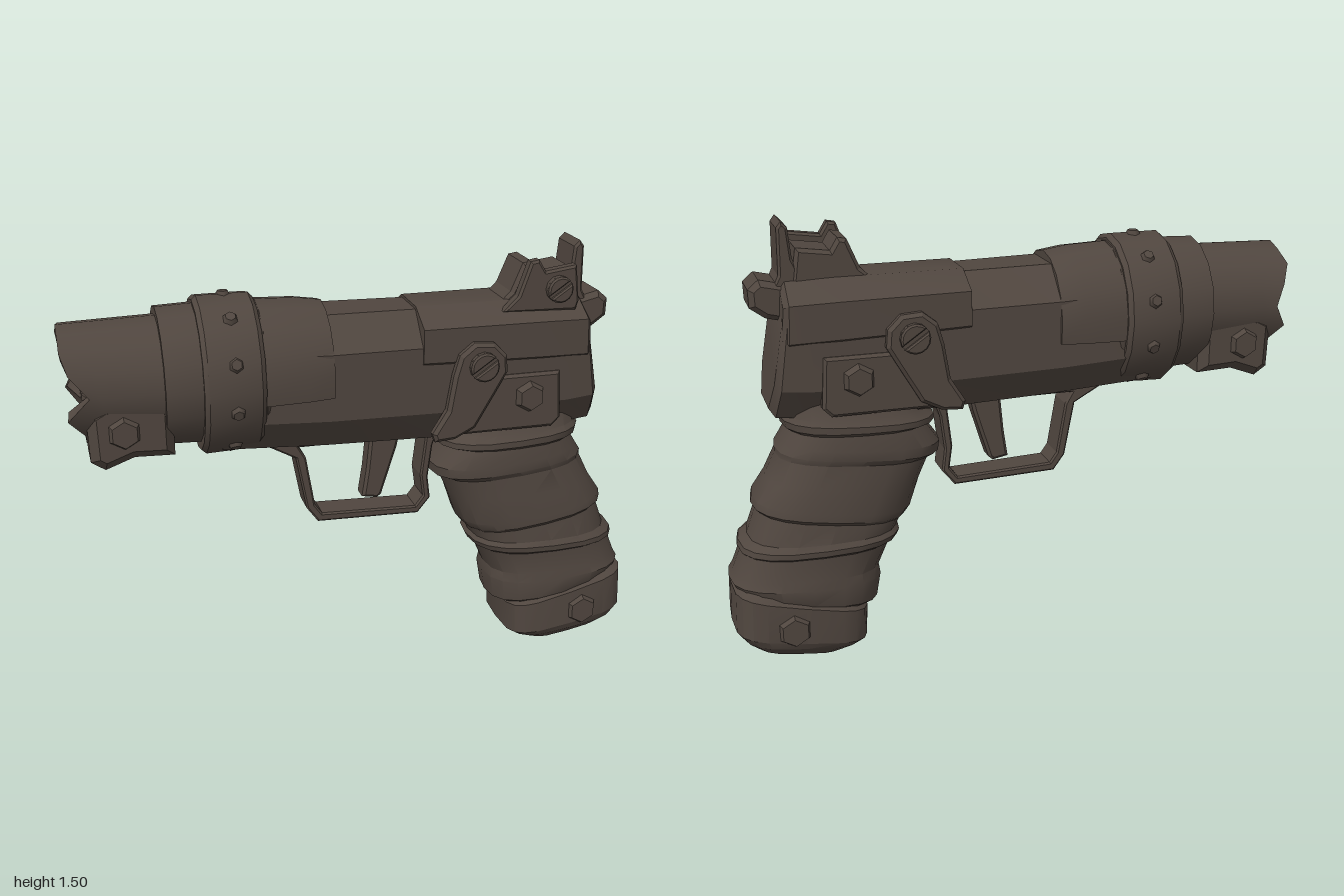
import * as THREE from 'three';
import { toCreasedNormals } from 'three/addons/utils/BufferGeometryUtils.js';

const metal = new THREE.MeshStandardMaterial({ color: 0x50463f });
metal.name = 'worn dark metal';

const TAU = Math.PI * 2;

function add(parent, name, geometry) {
  const mesh = new THREE.Mesh(geometry, metal);
  mesh.name = name;
  parent.add(mesh);
  return mesh;
}

// Skins a list of equal-length rings, caps both ends and turns the faces outwards.
function loft(rings, crease = 0.5) {
  const tris = [], n = rings[0].length;
  for (let r = 0; r < rings.length - 1; r++) {
    for (let i = 0; i < n; i++) {
      const j = (i + 1) % n, A = rings[r], B = rings[r + 1];
      tris.push([A[i], A[j], B[j]], [A[i], B[j], B[i]]);
    }
  }
  const cap = (ring, flip) => {
    const c = ring.reduce((s, p) => s.add(p), new THREE.Vector3()).divideScalar(n);
    ring.forEach((p, i) => {
      const q = ring[(i + 1) % n];
      tris.push(flip ? [c, q, p] : [c, p, q]);
    });
  };
  cap(rings[0], true);
  cap(rings[rings.length - 1], false);
  const cross = new THREE.Vector3();
  const volume = tris.reduce((v, [a, b, c]) => v + a.dot(cross.crossVectors(b, c)), 0);
  const pos = [];
  for (const [a, b, c] of tris) {
    for (const p of volume < 0 ? [a, c, b] : [a, b, c]) pos.push(p.x, p.y, p.z);
  }
  const g = new THREE.BufferGeometry();
  g.setAttribute('position', new THREE.Float32BufferAttribute(pos, 3));
  return toCreasedNormals(g, crease);
}

// Round ring across the barrel axis; tip(angle) can shift x.
function barrelRing(x, cy, ry, rz, n = 16, tip = () => 0) {
  return Array.from({ length: n }, (_, i) => {
    const a = (i / n) * TAU;
    return new THREE.Vector3(x + tip(i), cy + ry * Math.sin(a), rz * Math.cos(a));
  });
}

// Eight-sided ring across the frame, slanted from xb at the bottom to xt at the top.
function frameRing([xb, xt, yb, yt, w]) {
  const half = [[0.45, 1], [1, 0.76], [1, 0.25], [0.6, 0]];
  const all = [...half, ...half.map(([z, y]) => [-z, y]).reverse()];
  return all.map(([z, f]) => new THREE.Vector3(xb + (xt - xb) * f, yb + (yt - yb) * f, z * w));
}

// Squared oval ring through a front and a back point of the grip.
function gripRing([fx, fy, bx, by, w], power = 0.75, n = 20) {
  const soft = v => Math.sign(v) * Math.abs(v) ** power;
  return Array.from({ length: n }, (_, i) => {
    const a = (i / n) * TAU, c = soft(Math.cos(a)) / 2;
    return new THREE.Vector3((fx + bx) / 2 + (bx - fx) * c, (fy + by) / 2 + (by - fy) * c, w * soft(Math.sin(a)));
  });
}

// Flat outline extruded from z0 to z1.
function plate(points, z0, z1, bevel = 0, hole) {
  const toV = list => list.map(p => new THREE.Vector2(...p));
  const shape = new THREE.Shape(toV(points));
  if (hole) shape.holes.push(new THREE.Path(toV(hole)));
  return new THREE.ExtrudeGeometry(shape, {
    depth: z1 - z0 - 2 * bevel, bevelEnabled: bevel > 0, bevelThickness: bevel,
    bevelSize: bevel, bevelOffset: -bevel, bevelSegments: 1,
  }).translate(0, 0, z0 + bevel);
}

function platePair(parent, name, points, z0, z1, bevel) {
  add(parent, name + 'Left', plate(points, z0, z1, bevel));
  add(parent, name + 'Right', plate(points, -z1, -z0, bevel));
}

function hexBolts(parent, name, x, y, z, r) {
  for (const s of [1, -1]) {
    const g = new THREE.CylinderGeometry(r * 0.75, r, 0.03, 6).toNonIndexed();
    g.computeVertexNormals();
    const bolt = add(parent, name, g);
    bolt.rotation.set(s * Math.PI / 2, 0, 0);
    bolt.position.set(x, y, s * z);
  }
}

// Round screw head made of two halves with a slot between them.
function slotScrew(parent, x, y, z, r, side) {
  const screw = new THREE.Group();
  screw.name = 'slottedScrew';
  add(screw, 'screwBase', new THREE.CylinderGeometry(r, r, 0.02, 12).rotateX(Math.PI / 2));
  for (let k = 0; k < 2; k++) {
    const half = Array.from({ length: 8 }, (_, i) => {
      const a = 0.15 + (i / 7) * (Math.PI - 0.3);
      return [r * Math.cos(a), r * Math.sin(a)];
    });
    add(screw, 'screwHalf', plate(half, 0.005, 0.025, 0.006)).rotation.z = k * Math.PI + 0.6;
  }
  screw.position.set(x, y, side * z);
  if (side < 0) screw.rotation.y = Math.PI;
  parent.add(screw);
}

export function createModel() {
  const gun = new THREE.Group();
  gun.name = 'pistol';

  // Hollow muzzle with a chipped rim
  const chips = [0.08, 0.02, 0, 0, 0, 0.01, 0, 0.03, 0.06, 0.02, 0.07, 0.07, 0.08, 0.07, 0.06, 0.01];
  const chip = i => chips[i];
  add(gun, 'muzzle', loft([
    barrelRing(-0.6, 1.125, 0.205, 0.195), barrelRing(-0.88, 1.125, 0.198, 0.19),
    barrelRing(-1, 1.125, 0.195, 0.188, 16, chip), barrelRing(-0.995, 1.125, 0.145, 0.14, 16, chip),
    barrelRing(-0.72, 1.125, 0.13, 0.125),
  ]));
  platePair(gun, 'muzzleLug', [[-0.935, 1.07], [-0.93, 0.9], [-0.885, 0.87], [-0.79, 0.905], [-0.66, 0.9],
    [-0.66, 1.1], [-0.88, 1.1]], 0, 0.18, 0.03);
  hexBolts(gun, 'muzzleBolt', -0.82, 1.0, 0.185, 0.06);

  // Sleeve, its rear upper shell, and the studded strap
  add(gun, 'sleeve', loft([
    barrelRing(-0.685, 1.125, 0.23, 0.21), barrelRing(-0.55, 1.125, 0.235, 0.212),
    barrelRing(-0.36, 1.12, 0.24, 0.21), barrelRing(-0.34, 1.115, 0.225, 0.195),
  ]));
  const shellRing = (x, ry, rz) => Array.from({ length: 22 }, (_, i) => {
    const k = i < 11 ? i : 21 - i, t = i < 11 ? 0 : 0.03, a = -0.25 + (k / 10) * (Math.PI + 0.5);
    return new THREE.Vector3(x, 1.115 + (ry - t) * Math.sin(a), (rz - t) * Math.cos(a));
  });
  add(gun, 'sleeveShell', loft([shellRing(-0.4, 0.245, 0.215), shellRing(-0.22, 0.238, 0.208), shellRing(-0.135, 0.225, 0.203)]));
  add(gun, 'strap', loft([
    barrelRing(-0.565, 1.115, 0.255, 0.222), barrelRing(-0.55, 1.115, 0.268, 0.232),
    barrelRing(-0.38, 1.118, 0.265, 0.232), barrelRing(-0.365, 1.118, 0.25, 0.22),
  ]));
  for (let i = 0; i < 10; i++) {
    const a = 0.35 + (i / 10) * TAU;
    const stud = add(gun, 'strapStud', new THREE.CylinderGeometry(0.018, 0.03, 0.022, 6));
    stud.position.set(-0.46, 1.117 + 0.264 * Math.sin(a), 0.23 * Math.cos(a));
    stud.rotation.x = Math.PI / 2 - a;
  }

  // Frame and the raised rear slide cover
  add(gun, 'frame', loft([
    [-0.5, -0.5, 0.885, 1.325, 0.19], [-0.15, -0.15, 0.865, 1.31, 0.188], [0.25, 0.2, 0.85, 1.305, 0.172],
    [0.7, 0.68, 0.86, 1.295, 0.172], [0.81, 0.75, 0.87, 1.295, 0.165], [0.83, 0.765, 0.9, 1.27, 0.14],
  ].map(frameRing)));
  add(gun, 'slideCover', loft([
    [0.17, 0.17, 1.09, 1.315, 0.182], [0.6, 0.6, 1.075, 1.315, 0.18], [0.765, 0.755, 1.07, 1.31, 0.172],
    [0.785, 0.77, 1.09, 1.29, 0.15],
  ].map(frameRing)));
  platePair(gun, 'sidePlate', [[0.3, 0.88], [0.64, 0.88], [0.67, 0.91], [0.66, 1.08], [0.32, 1.08]], 0.14, 0.185, 0.01);
  hexBolts(gun, 'frameBolt', 0.55, 1.0, 0.195, 0.058);

  // Side levers with slotted screws
  platePair(gun, 'lever', [[0.27, 1.1], [0.29, 1.17], [0.34, 1.21], [0.41, 1.205], [0.455, 1.16], [0.46, 1.1],
    [0.42, 1.03], [0.35, 0.91], [0.28, 0.875], [0.21, 0.87], [0.2, 0.9], [0.25, 0.98]], 0.165, 0.21, 0.012);
  for (const s of [1, -1]) slotScrew(gun, 0.37, 1.13, 0.209, 0.05, s);

  // Sight block, its side plate, rear spike and hammer
  const sight = [[0.46, 1.29], [0.51, 1.34], [0.55, 1.455], [0.58, 1.46], [0.605, 1.42], [0.715, 1.435],
    [0.73, 1.31], [0.72, 1.28]];
  add(gun, 'sightBlock', plate(sight.map(([x, y]) => [x, y > 1.4 ? y - 0.02 : y]), -0.08, 0.08, 0.012));
  add(gun, 'sightPlate', plate(sight, 0.1, 0.145, 0.008));
  slotScrew(gun, 0.65, 1.36, 0.15, 0.045, 1);
  add(gun, 'rearSpike', plate([[0.68, 1.28], [0.725, 1.38], [0.735, 1.48], [0.755, 1.5], [0.77, 1.48],
    [0.772, 1.33], [0.8, 1.27]], -0.073, 0.073, 0.008));
  add(gun, 'hammer', plate([[0.7, 1.31], [0.77, 1.305], [0.835, 1.32], [0.87, 1.29], [0.868, 1.23], [0.82, 1.195],
    [0.76, 1.18], [0.7, 1.2]], -0.082, 0.082, 0.018));

  // Trigger guard and trigger
  add(gun, 'triggerGuard', plate(
    [[-0.36, 0.89], [-0.33, 0.85], [-0.24, 0.8], [-0.205, 0.61], [-0.165, 0.555], [0.2, 0.545], [0.245, 0.6],
      [0.235, 0.68], [0.25, 0.8], [0.28, 0.89]], -0.055, 0.055, 0.006,
    [[-0.23, 0.84], [-0.205, 0.8], [-0.175, 0.62], [-0.15, 0.585], [0.19, 0.573], [0.218, 0.61], [0.207, 0.69], [0.225, 0.84]]));
  add(gun, 'trigger', plate([[0.03, 0.87], [0.14, 0.87], [0.125, 0.8], [0.07, 0.625], [0.055, 0.612], [0, 0.622],
    [0.015, 0.72]], -0.038, 0.038, 0.01));

  // Wrapped grip: each row is front x, y, back x, y and half width
  add(gun, 'wrappedGrip', loft([
    [0.34, 0.9, 0.77, 0.92, 0.15], [0.31, 0.85, 0.78, 0.865, 0.17], [0.27, 0.825, 0.79, 0.85, 0.188],
    [0.27, 0.805, 0.785, 0.825, 0.188], [0.3, 0.795, 0.765, 0.81, 0.172], [0.25, 0.725, 0.79, 0.77, 0.18],
    [0.255, 0.69, 0.81, 0.74, 0.18], [0.29, 0.675, 0.81, 0.72, 0.17], [0.325, 0.6, 0.85, 0.64, 0.177],
    [0.36, 0.5, 0.895, 0.575, 0.186], [0.38, 0.475, 0.9, 0.55, 0.186], [0.395, 0.465, 0.885, 0.535, 0.176],
    [0.41, 0.435, 0.92, 0.44, 0.183], [0.4, 0.42, 0.95, 0.42, 0.196], [0.41, 0.4, 0.955, 0.4, 0.194],
    [0.435, 0.385, 0.945, 0.39, 0.176], [0.475, 0.295, 0.975, 0.315, 0.175], [0.47, 0.26, 0.99, 0.29, 0.185],
    [0.485, 0.175, 0.97, 0.255, 0.178], [0.54, 0.15, 0.94, 0.2, 0.15],
  ].map(r => gripRing(r))));

  // Butt cap with bolts
  add(gun, 'buttCap', loft([
    [0.56, 0.185, 0.95, 0.285, 0.165], [0.53, 0.16, 0.985, 0.27, 0.186], [0.535, 0.05, 0.99, 0.125, 0.19],
    [0.56, 0.035, 0.965, 0.09, 0.18], [0.63, 0.0, 0.92, 0.045, 0.135],
  ].map(r => gripRing(r, 0.5)), 0.4));
  hexBolts(gun, 'buttBolt', 0.8, 0.14, 0.188, 0.065);

  return gun;
}
